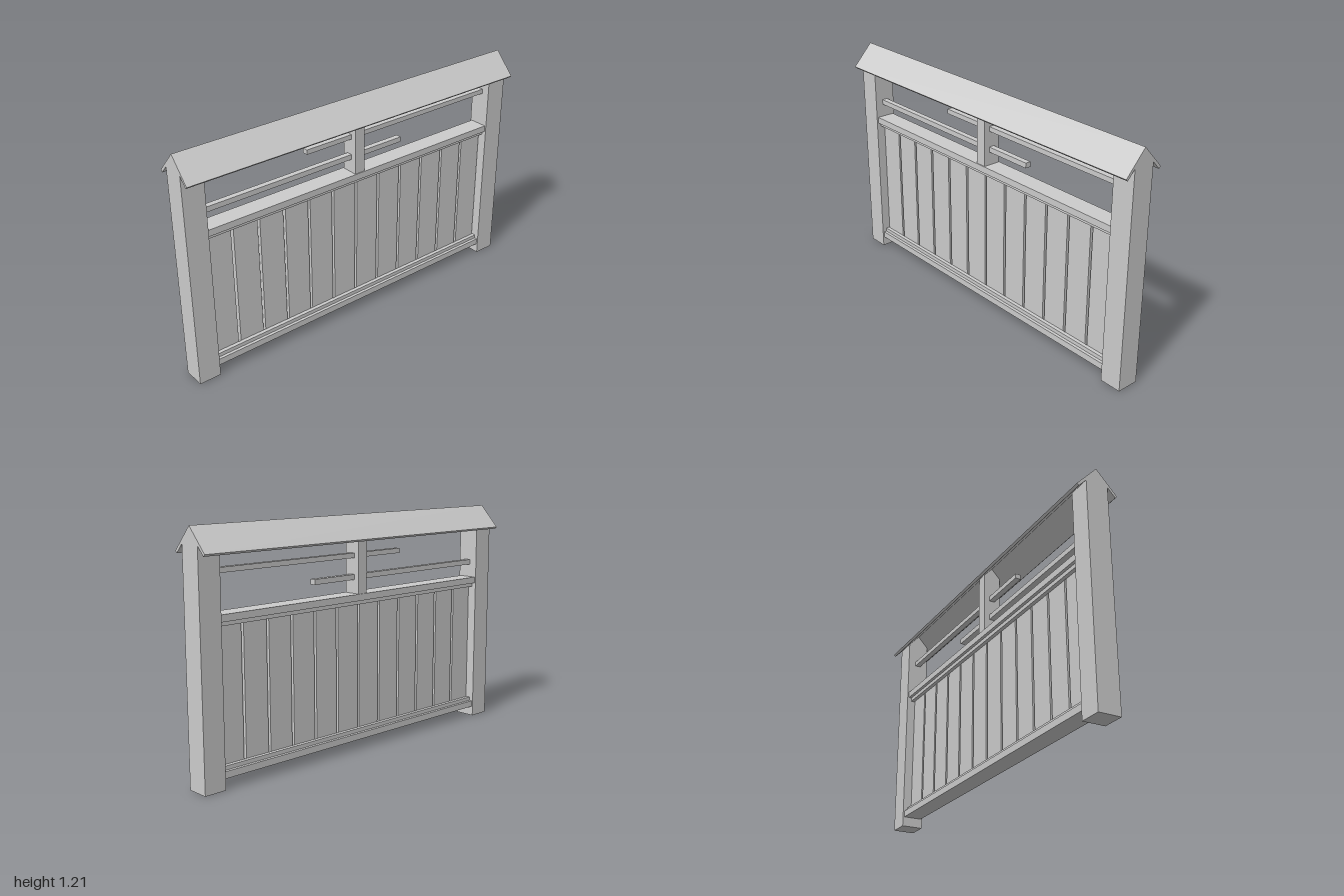
import * as THREE from 'three';

const material = new THREE.MeshStandardMaterial({ color: 0xcccccc, flatShading: true });

export function createModel() {
  const model = new THREE.Group();
  model.name = 'roofedFence';

  const add = (name, geometry, x, y, z) => {
    const mesh = new THREE.Mesh(geometry, material);
    mesh.name = name;
    mesh.position.set(x, y, z);
    model.add(mesh);
  };

  // Box given by its x and y limits, its depth and its middle z
  const box = (name, x0, x1, y0, y1, depth, z = 0) =>
    add(name, new THREE.BoxGeometry(x1 - x0, y1 - y0, depth), (x0 + x1) / 2, (y0 + y1) / 2, z);

  // Outline of [z, y] points extruded along x, centred on x
  const profile = (name, points, x, length) => {
    const shape = new THREE.Shape(points.map(([z, y]) => new THREE.Vector2(-z, y)));
    const geometry = new THREE.ExtrudeGeometry(shape, { depth: length, bevelEnabled: false });
    geometry.translate(0, 0, -length / 2).rotateY(Math.PI / 2);
    add(name, geometry, x, 0, 0);
  };

  const inner = 0.885; // inner face of the side posts
  const ridge = 1.187; // underside of the roof ridge
  const slope = 1.08;

  // Post with a gabled top that meets the roof underside
  const post = (name, x, width, depth, bottom) => {
    const h = depth / 2;
    const eave = ridge - h * slope;
    profile(name, [[h, bottom], [-h, bottom], [-h, eave], [0, ridge], [h, eave]], x, width);
  };
  post('rightPost', -(1 + inner) / 2, 1 - inner, 0.116, 0);
  post('leftPost', (1 + inner) / 2, 1 - inner, 0.116, 0);
  post('centrePost', 0, 0.058, 0.09, 0.81);

  // Two-sided roof
  profile('roof', [
    [0.109, 1.09], [0.099, 1.08], [0, ridge], [-0.099, 1.08], [-0.109, 1.09], [0, 1.207],
  ], 0, 2);

  // Rails, with thin strips holding the boards on both faces
  box('bottomRail', -inner, inner, 0.052, 0.086, 0.1);
  box('topRail', -inner, inner, 0.776, 0.81, 0.1);
  for (const side of [-1, 1]) {
    box('bottomStrip', -inner, inner, 0.086, 0.106, 0.02, side * 0.024);
    box('topStrip', -inner, inner, 0.755, 0.776, 0.02, side * 0.024);
  }

  // Upright boards with narrow gaps
  const count = 12;
  const pitch = (2 * inner) / count;
  for (let i = 0; i < count; i++) {
    const x = -inner + (i + 0.5) * pitch;
    box('board', x - 0.067, x + 0.067, 0.086, 0.776, 0.028);
  }

  // Staggered bars of the upper opening
  box('lowerBar', -inner, 0.295, 0.88, 0.907, 0.03);
  box('upperBar', -0.3, inner, 0.99, 1.015, 0.03);

  return model;
}
